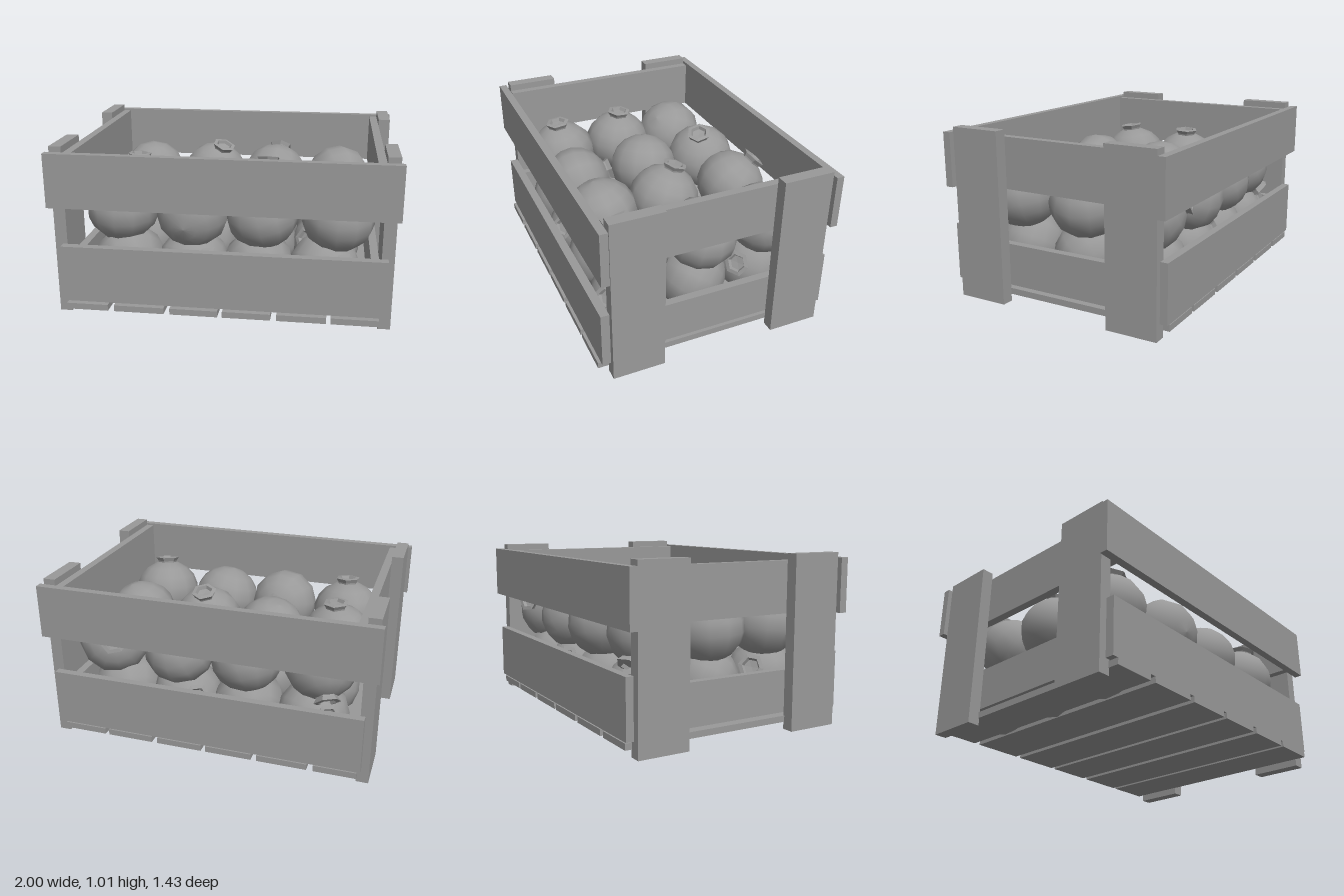
import * as THREE from 'three';

export function createModel() {
  const model = new THREE.Group();
  const grey = new THREE.MeshStandardMaterial({ color: 0x999999 });
  grey.name = 'grey';

  // Board given by its lower and upper corners
  const board = (name, x0, x1, y0, y1, z0, z1) => {
    const mesh = new THREE.Mesh(new THREE.BoxGeometry(x1 - x0, y1 - y0, z1 - z0), grey);
    mesh.position.set((x0 + x1) / 2, (y0 + y1) / 2, (z0 + z1) / 2);
    mesh.name = name;
    model.add(mesh);
  };

  // Long side boards
  board('frontUpperBoard', -1, 1, 0.665, 0.985, 0.66, 0.707);
  board('frontLowerBoard', -0.935, 0.945, 0.09, 0.43, 0.65, 0.7);
  board('backUpperBoard', -1, 1, 0.665, 0.985, -0.715, -0.67);
  board('backLowerBoard', -0.935, 0.945, 0.09, 0.43, -0.705, -0.66);

  // End boards and corner posts
  for (const side of [-1, 1]) {
    const span = (a, b) => (side > 0 ? [a, b] : [-b, -a]);
    board('endUpperBoard', ...span(0.86, 0.908), 0.675, 0.975, -0.66, 0.652);
    board('endLowerBoard', ...span(0.86, 0.908), 0.1, 0.35, -0.655, 0.65);
    board('frontPost', ...span(0.908, 0.98), 0, 1.015, 0.34, 0.65);
    board('backPost', ...span(0.908, 0.98), 0, 1.015, -0.66, -0.352);
  }

  // Floor slats
  const slats = [[-0.915, -0.665], [-0.628, -0.33], [-0.295, -0.013], [0.015, 0.295], [0.33, 0.615], [0.64, 0.91]];
  for (const [x0, x1] of slats) board('floorSlat', x0, x1, 0.043, 0.08, -0.7, 0.715);

  // Fruit body: a slightly squat, faintly angular ball
  const bodyProfile = [];
  for (let i = 0; i <= 9; i++) {
    const a = -Math.PI / 2 + (Math.PI * i) / 9;
    bodyProfile.push(new THREE.Vector2(Math.max(0, Math.cos(a) * 0.219), Math.sin(a) * 0.205));
  }
  const bodyShape = new THREE.LatheGeometry(bodyProfile, 12);

  // Six-sided crown with a shallow hollow
  const crownProfile = [[0.062, 0.185], [0.066, 0.205], [0.08, 0.228], [0.055, 0.232], [0.045, 0.212], [0, 0.208]]
    .map(([r, y]) => new THREE.Vector2(r, y));
  const crownShape = new THREE.LatheGeometry(crownProfile, 6).toNonIndexed();
  crownShape.computeVertexNormals();

  const up = new THREE.Vector3(0, 1, 0);
  const fruit = (name, x, y, z, direction) => {
    const group = new THREE.Group();
    const body = new THREE.Mesh(bodyShape, grey);
    const crown = new THREE.Mesh(crownShape, grey);
    body.name = 'fruitBody';
    crown.name = 'fruitCrown';
    group.add(body, crown);
    group.position.set(x, y, z);
    group.quaternion.setFromUnitVectors(up, new THREE.Vector3(...direction).normalize());
    group.name = name;
    model.add(group);
  };

  // Upper layer: x, z and the way the crown points
  const upper = [
    [-0.635, -0.42, [-0.3, -0.7, -0.6]],
    [-0.2, -0.455, [0.3, 0.92, 0.22]],
    [0.22, -0.46, [0.12, 0.75, -0.65]],
    [0.655, -0.44, [-0.35, 0.3, -0.85]],
    [-0.645, -0.02, [0.05, 1, -0.05]],
    [-0.23, -0.045, [0.3, -0.9, 0.2]],
    [0.205, 0, [0, 0.95, -0.32]],
    [0.655, -0.03, [-0.3, -0.9, 0.1]],
    [-0.635, 0.39, [0.03, 1, 0.12]],
    [-0.2, 0.43, [0.1, 0.25, -0.95]],
    [0.215, 0.415, [0.2, -0.95, -0.2]],
    [0.66, 0.41, [0.05, 0.95, 0.2]],
  ];
  for (const [x, z, dir] of upper) fruit('upperFruit', x, 0.59, z, dir);

  // Lower layer, turned every other way
  [-0.42, -0.01, 0.41].forEach((z, row) => {
    [-0.6, -0.2, 0.19, 0.59].forEach((x, col) => {
      const s = (row + col) % 2 ? 1 : -1;
      fruit('lowerFruit', x, 0.26, z, [0.5 * s, 0.35, 0.7 * (col % 2 ? 1 : -1)]);
    });
  });

  return model;
}
